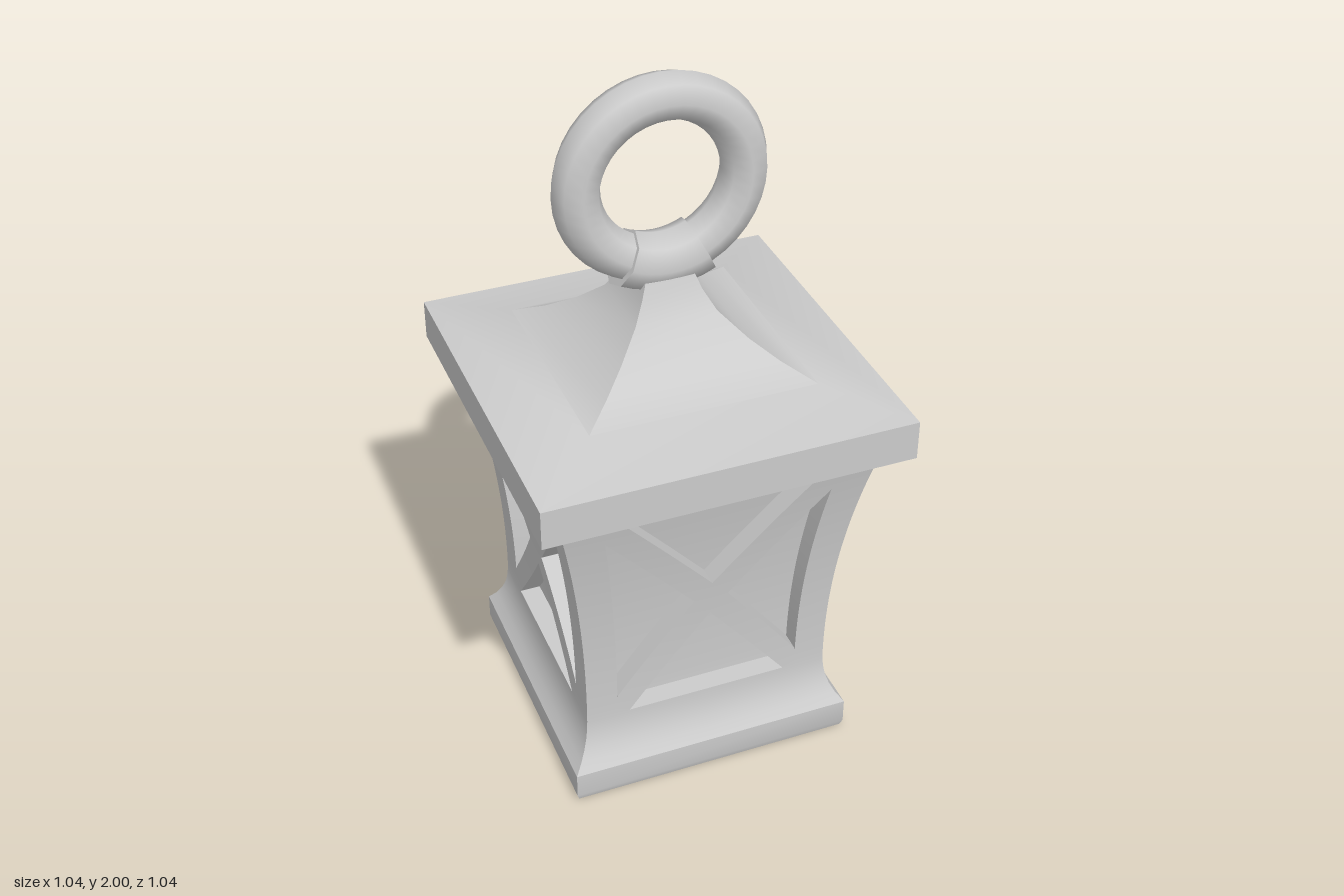
import * as THREE from 'three';
import { toCreasedNormals } from 'three/addons/utils/BufferGeometryUtils.js';

const material = new THREE.MeshStandardMaterial({ color: 0xcccccc });
const BODY_BOTTOM = 0.095, BODY_TOP = 1.03, RECESS = 0.06, SILL = 0.245;

// Half width of the waisted body at height y, flaring out to the base
function bodyHalf(y) {
  const flare = Math.max(0, (0.28 - y) / 0.185);
  return 0.362 + 0.165 * Math.max(0, y - 0.28) ** 2 + 0.053 * flare ** 3;
}

// Half width of the middle openings: a triangle on the sill and a V under the roof
function middleOpening(y) {
  if (y > 0.655) return 0.32 * (y - 0.655) / 0.375;
  return y > SILL && y < 0.54 ? 0.235 * (0.54 - y) / 0.295 : 0;
}

// Outer and inner x of the side openings; they meet where the opening ends
const sideOuter = (y) => bodyHalf(y) * 0.75;
function sideInner(y) {
  const x = y > 0.6 ? 0.05 + 0.275 * (y - 0.6) / 0.32 : 0.05 + 0.22 * (0.6 - y) / 0.29;
  return Math.min(x, sideOuter(y));
}

function bodyRows() {
  const rows = [SILL, SILL + 0.0001, 0.31, 0.54, 0.6, 0.655, 0.92];
  for (let i = 0; i <= 32; i++) rows.push(BODY_BOTTOM + (BODY_TOP - BODY_BOTTOM) * i / 32);
  return rows.sort((a, b) => a - b);
}

function quad(out, a, b, c, d, flip = false) {
  const order = flip ? [a, c, b, a, d, c] : [a, b, c, a, c, d];
  for (const p of order) out.push(...p);
}

function finish(points, crease = 0.5) {
  const g = new THREE.BufferGeometry();
  g.setAttribute('position', new THREE.Float32BufferAttribute(points, 3));
  return toCreasedNormals(g, crease);
}

// Square solid from [half width, y] pairs, bottom to top
function squareLoft(profile, crease) {
  const out = [];
  const corner = ([h, y], k) => {
    const t = Math.PI / 4 + k * Math.PI / 2;
    return [h * Math.SQRT2 * Math.cos(t), y, -h * Math.SQRT2 * Math.sin(t)];
  };
  for (let i = 0; i < profile.length - 1; i++) {
    const lo = profile[i], hi = profile[i + 1];
    for (let k = 0; k < 4; k++) {
      quad(out, corner(lo, k), corner(lo, k + 1), corner(hi, k + 1), corner(hi, k));
    }
  }
  const ring = (p) => [0, 1, 2, 3].map((k) => corner(p, k));
  quad(out, ...ring(profile[0]), true);
  quad(out, ...ring(profile[profile.length - 1]));
  return finish(out, crease);
}

// One curved side with its crossed bars, posts and the walls of the openings
function latticeSide() {
  const out = [], rows = bodyRows();
  for (let i = 0; i < rows.length - 1; i++) {
    const y0 = rows[i], y1 = rows[i + 1];
    for (const s of [1, -1]) {
      const at = (edge, y, depth = 0) => [s * edge(y), y, bodyHalf(y) - depth];
      const strip = (l, r) => quad(out, at(l, y0), at(r, y0), at(r, y1), at(l, y1), s < 0);
      const wall = (e, solidRight) => quad(out, at(e, y0, RECESS), at(e, y0),
        at(e, y1), at(e, y1, RECESS), (s > 0) !== solidRight);
      strip(middleOpening, sideInner);
      strip(sideOuter, bodyHalf);
      if (middleOpening(y0) + middleOpening(y1) > 0) wall(middleOpening, true);
      if (sideOuter(y0) - sideInner(y0) + sideOuter(y1) - sideInner(y1) > 1e-6) {
        wall(sideInner, false);
        wall(sideOuter, true);
      }
    }
  }
  return finish(out);
}

export function createModel() {
  const model = new THREE.Group();
  model.name = 'lantern';
  const add = (name, geometry, parent = model) => {
    const mesh = new THREE.Mesh(geometry, material);
    mesh.name = name;
    parent.add(mesh);
    return mesh;
  };

  // Base plinth
  add('base', squareLoft([[0.408, 0], [0.415, 0.02], [0.415, BODY_BOTTOM]]));

  // Recessed panels behind the lattice
  add('panels', squareLoft(bodyRows().map((y) => [bodyHalf(y) - RECESS, y])));

  // Four lattice sides
  const lattice = new THREE.Group();
  lattice.name = 'lattice';
  model.add(lattice);
  const side = latticeSide();
  for (let k = 0; k < 4; k++) add('latticeSide', side, lattice).rotation.y = k * Math.PI / 2;

  // Concave roof with a straight rim
  add('roof', squareLoft([
    [0.52, BODY_TOP], [0.52, 1.145], [0.32, 1.19], [0.245, 1.232], [0.18, 1.28],
    [0.115, 1.345], [0.085, 1.4], [0.07, 1.44],
  ], 0.6));

  // Hanging ring, faceing the front
  const hanger = new THREE.Group();
  hanger.name = 'hanger';
  hanger.position.y = 1.703;
  model.add(hanger);
  add('ring', new THREE.TorusGeometry(0.231, 0.066, 8, 40), hanger);

  // Collar holding the bottom of the ring, closed at both ends
  const R = 0.237, r = 0.081, half = 0.47, start = -Math.PI / 2 - half;
  add('collar', new THREE.TorusGeometry(R, r, 8, 8, 2 * half).rotateZ(start), hanger);
  for (const s of [1, -1]) {
    const cap = new THREE.CircleGeometry(r, 8).rotateX(s * Math.PI / 2);
    add('collarEnd', cap.translate(R, 0, 0).rotateZ(-Math.PI / 2 - s * half), hanger);
  }
  return model;
}
